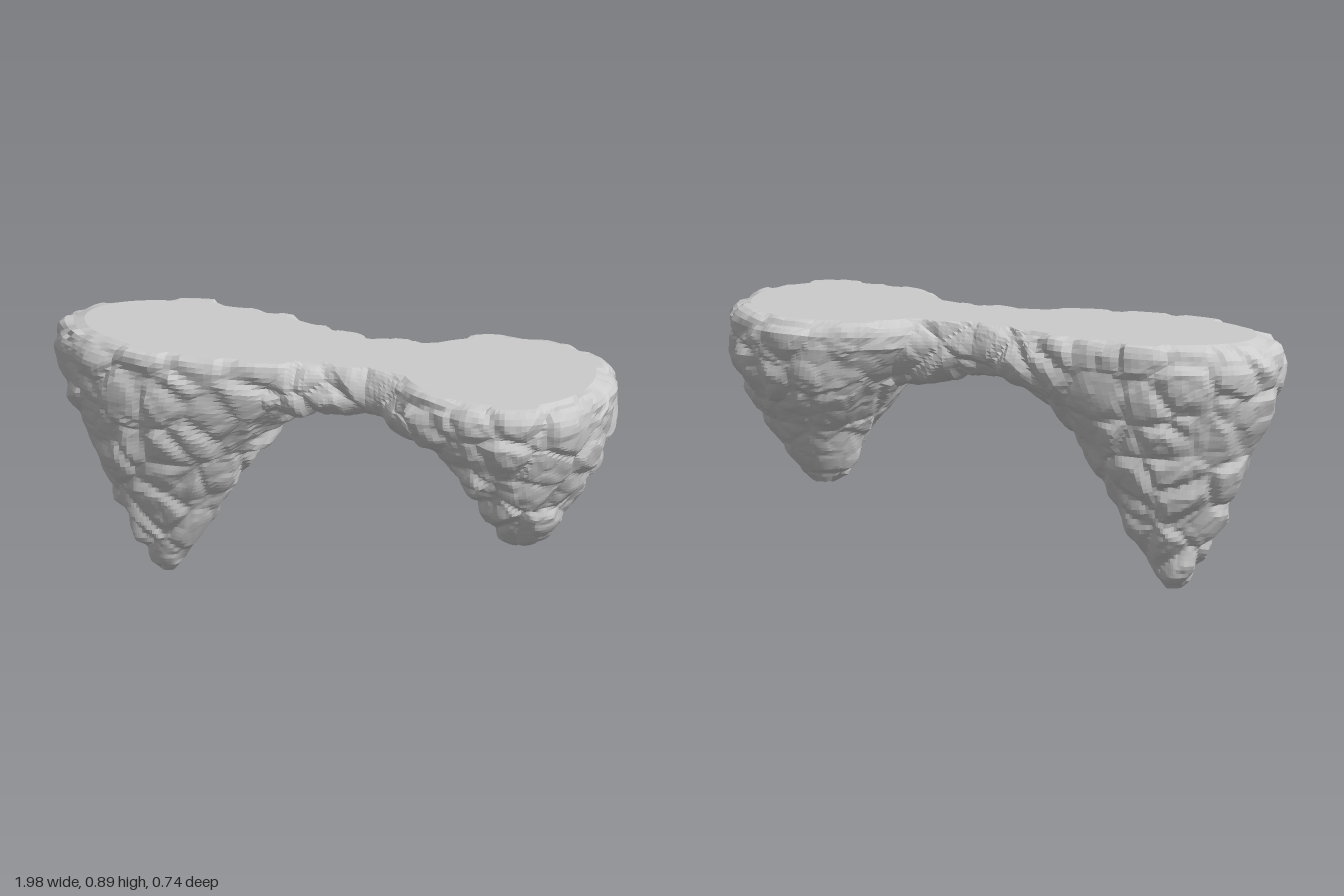
import * as THREE from 'three';

const TOP = 0.892;

// repeatable hash in 0..1
function hash(x, y, z, k) {
  const s = Math.sin(x * 127.1 + y * 311.7 + z * 74.7 + k * 53.3) * 43758.5453;
  return s - Math.floor(s);
}

// cellular stone relief: each cell is a tilted facet that sinks to a shared groove
function relief(p, size) {
  const q = [p.x / size, p.y / size, p.z / size];
  const c = q.map(Math.floor);
  let f1 = 9, f2 = 9, facet = 0;
  for (let i = -1; i <= 1; i++) for (let j = -1; j <= 1; j++) for (let k = -1; k <= 1; k++) {
    const n = [c[0] + i, c[1] + j, c[2] + k];
    const d = n.map((v, a) => q[a] - v - hash(...n, a));
    const r = Math.hypot(...d);
    if (r < f1) {
      f2 = f1;
      f1 = r;
      facet = (hash(...n, 4) - 0.5) * 0.6;
      d.forEach((v, a) => { facet += v * (hash(...n, 5 + a) - 0.5) * 1.2; });
    } else if (r < f2) f2 = r;
  }
  return Math.min((f2 - f1) / 0.35, 1) * (0.65 + facet) - 0.3;
}

// linear lookup in rows of [key, values...]
function sample(rows, key) {
  let i = 0;
  while (i < rows.length - 2 && key > rows[i + 1][0]) i++;
  const a = rows[i], b = rows[i + 1];
  const t = THREE.MathUtils.clamp((key - a[0]) / (b[0] - a[0]), 0, 1);
  return a.map((v, n) => v + (b[n] - v) * t);
}

// closed loft through rings, roughened along its normals, flat on top
function rockLoft(name, rings, segments, point, material) {
  const pos = [], idx = [];
  for (const ring of rings) {
    for (let i = 0; i < segments; i++) pos.push(...point(ring, i / segments * Math.PI * 2));
  }
  for (let j = 0; j < rings.length - 1; j++) {
    for (let i = 0; i < segments; i++) {
      const n = (i + 1) % segments;
      const a = j * segments + i, b = j * segments + n;
      const c = a + segments, d = b + segments;
      idx.push(a, c, b, b, c, d);
    }
  }
  // end caps
  for (const end of [0, rings.length - 1]) {
    const centre = new THREE.Vector3();
    for (let i = 0; i < segments; i++) {
      centre.add(new THREE.Vector3().fromArray(pos, (end * segments + i) * 3));
    }
    const ci = pos.length / 3;
    pos.push(...centre.divideScalar(segments).toArray());
    for (let i = 0; i < segments; i++) {
      const a = end * segments + i, b = end * segments + (i + 1) % segments;
      if (end === 0) idx.push(ci, a, b);
      else idx.push(ci, b, a);
    }
  }
  const geo = new THREE.BufferGeometry();
  geo.setAttribute('position', new THREE.Float32BufferAttribute(pos, 3));
  geo.setIndex(idx);
  geo.computeVertexNormals();
  const P = geo.attributes.position, N = geo.attributes.normal;
  const p = new THREE.Vector3(), nrm = new THREE.Vector3();
  for (let i = 0; i < P.count; i++) {
    p.fromBufferAttribute(P, i);
    nrm.fromBufferAttribute(N, i);
    const flat = p.y > TOP - 0.002;
    const amount = 0.003 + 0.032 * relief(p, 0.16) + 0.006 * relief(p, 0.08);
    p.addScaledVector(nrm, amount);
    p.y = flat ? TOP : THREE.MathUtils.clamp(p.y, 0, TOP);
    P.setXYZ(i, p.x, p.y, p.z);
  }
  geo.computeVertexNormals();
  const mesh = new THREE.Mesh(geo, material);
  mesh.name = name;
  return mesh;
}

// hanging cone; rows are [y, xMin, xMax, xWidest, zHalf]
function hangingCone(name, rows, material) {
  const low = rows[0][0], rings = [];
  for (let j = 0; j <= 56; j++) rings.push(sample(rows, low + (0.83 - low) * j / 56));
  for (const y of [0.845, 0.86, 0.873, 0.884, TOP]) rings.push(sample(rows, y));
  return rockLoft(name, rings, 120, ([y, x0, x1, xc, w], a) => {
    const c = Math.cos(a);
    return [xc + c * (c < 0 ? xc - x0 : x1 - xc), y, w * Math.sin(a)];
  }, material);
}

export function createModel() {
  const group = new THREE.Group();
  group.name = 'floatingRockIsland';
  const rock = new THREE.MeshStandardMaterial({ color: 0xcccccc, flatShading: true });

  // tall cone
  group.add(hangingCone('tallRockCone', [
    [0, -0.63, -0.57, -0.6, 0.025],
    [0.03, -0.655, -0.54, -0.6, 0.055],
    [0.1, -0.68, -0.5, -0.59, 0.078],
    [0.2, -0.735, -0.435, -0.58, 0.108],
    [0.3, -0.79, -0.38, -0.58, 0.143],
    [0.4, -0.85, -0.33, -0.57, 0.175],
    [0.5, -0.89, -0.265, -0.56, 0.21],
    [0.6, -0.93, -0.18, -0.54, 0.24],
    [0.7, -0.965, -0.03, -0.52, 0.26],
    [0.8, -0.99, 0.06, -0.5, 0.265],
    [0.85, -0.98, 0.08, -0.5, 0.26],
    [0.88, -0.95, 0.08, -0.5, 0.243],
    [TOP, -0.89, 0.06, -0.5, 0.218],
  ], rock));

  // short, rounder cone
  group.add(hangingCone('shortRockCone', [
    [0.268, 0.645, 0.705, 0.675, 0.03],
    [0.3, 0.595, 0.75, 0.675, 0.085],
    [0.4, 0.55, 0.82, 0.68, 0.15],
    [0.5, 0.48, 0.88, 0.67, 0.205],
    [0.6, 0.41, 0.935, 0.66, 0.275],
    [0.7, 0.31, 0.97, 0.65, 0.33],
    [0.8, 0.22, 0.99, 0.64, 0.355],
    [0.85, 0.21, 0.985, 0.64, 0.348],
    [0.88, 0.22, 0.955, 0.64, 0.325],
    [TOP, 0.25, 0.92, 0.64, 0.29],
  ], rock));

  // arched bridge between them; rows are [x, underside, zHalf]
  const arch = [
    [-0.3, 0.56, 0.17], [-0.2, 0.595, 0.215], [-0.1, 0.65, 0.212],
    [0, 0.683, 0.185], [0.07, 0.69, 0.16], [0.2, 0.685, 0.17],
    [0.3, 0.652, 0.21], [0.4, 0.625, 0.22], [0.5, 0.65, 0.18],
  ];
  const ribs = [];
  for (let j = 0; j <= 50; j++) ribs.push(sample(arch, -0.3 + 0.8 * j / 50));
  group.add(rockLoft('rockBridge', ribs, 72, ([x, low, w], a) => {
    const s = Math.sin(a);
    const y = 0.8 + s * (s < 0 ? 0.8 - low : 0.14);
    return [x, Math.min(y, TOP), w * Math.cos(a)];
  }, rock));

  return group;
}
